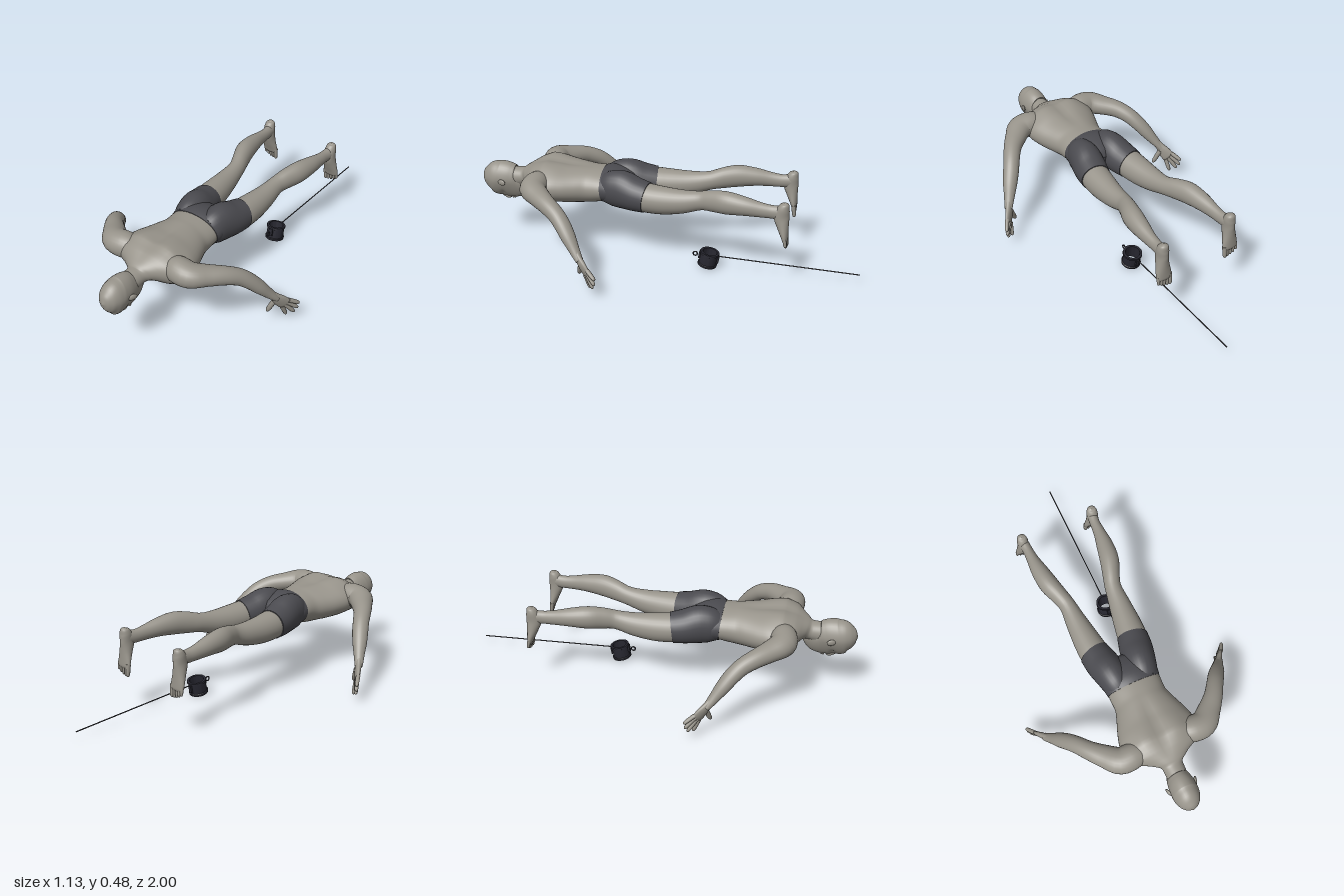
import * as THREE from 'three';
import { toCreasedNormals } from 'three/addons/utils/BufferGeometryUtils.js';

const mat = (name, color) => Object.assign(new THREE.MeshStandardMaterial({ color }), { name });
const V = (x, y, z) => new THREE.Vector3(x, y, z);
const clamp = THREE.MathUtils.clamp;
const bump = (v, c, s) => Math.exp(-(((v - c) / s) ** 2));

// Smooth skin over elliptical sections; rows are [x, y, z, halfWidth, halfHeight].
function loft(rows, { up = V(0, 1, 0), side = 1, seg = 28, steps = 4, deform } = {}) {
  const path = new THREE.CatmullRomCurve3(rows.map(r => V(r[0] * side, r[1], r[2])));
  const size = new THREE.CatmullRomCurve3(rows.map(r => V(r[3], r[4], 0)));
  const u0 = V(up.x * side, up.y, up.z);
  const n = (rows.length - 1) * steps, pos = [], idx = [];
  const ring = t => {
    const c = path.getPoint(t), s = size.getPoint(t), T = path.getTangent(t);
    const sx = u0.clone().cross(T).normalize(), sy = T.clone().cross(sx);
    for (let j = 0; j < seg; j++) {
      const a = j / seg * Math.PI * 2;
      const p = c.clone().addScaledVector(sx, Math.cos(a) * s.x).addScaledVector(sy, Math.sin(a) * s.y);
      if (deform) deform(p);
      pos.push(p.x, p.y, p.z);
    }
    return c;
  };
  for (let i = 0; i <= n; i++) ring(i / n);
  for (let i = 0; i < n; i++) for (let j = 0; j < seg; j++) {
    const a = i * seg + j, b = i * seg + (j + 1) % seg;
    idx.push(a, b, b + seg, a, b + seg, a + seg);
  }
  for (const t of [0, 1]) {
    const base = pos.length / 3, c = ring(t);
    pos.push(c.x, c.y, c.z);
    for (let j = 0; j < seg; j++) {
      const a = base + j, b = base + (j + 1) % seg;
      idx.push(base + seg, t ? a : b, t ? b : a);
    }
  }
  const g = new THREE.BufferGeometry();
  g.setAttribute('position', new THREE.Float32BufferAttribute(pos, 3));
  g.setIndex(idx);
  g.computeVertexNormals();
  return g;
}

// Finger or toe from a to b with a rounded tip.
function digit(a, b, r, side) {
  const at = (t, k) => [0, 1, 2].map(i => a[i] + (b[i] - a[i]) * t).concat(r * k, r * k);
  return loft([at(0, 1), at(0.45, 0.95), at(0.8, 0.85), at(0.95, 0.55), at(1, 0.08)],
    { up: V(0.3, 0.2, 1), side, seg: 10, steps: 2 });
}

export function createModel() {
  const skin = mat('skin', 0x98948b), cloth = mat('shortsCloth', 0x4b4b50);
  const iron = mat('darkIron', 0x272730), steel = mat('rodSteel', 0x3c3c42);
  const model = new THREE.Group();
  model.name = 'lyingFigure';
  const add = (name, geo, m, parent = model) => {
    const mesh = new THREE.Mesh(geo, m);
    mesh.name = name;
    parent.add(mesh);
    return mesh;
  };

  // Torso and neck, with a spine groove and chest hollow
  add('torso', loft([
    [0, .37, .29, .13, .08], [0, .37, .33, .137, .085], [0, .365, .40, .136, .094], [0, .366, .46, .155, .098],
    [0, .368, .52, .178, .101], [0, .373, .58, .195, .104], [0, .378, .64, .2, .102], [0, .382, .69, .175, .08],
    [0, .378, .73, .1, .058], [0, .368, .765, .053, .048], [0, .36, .82, .05, .052], [0, .355, .86, .045, .05],
  ], {
    seg: 48, deform: p => {
      const k = bump(p.x, 0, .03) * bump(p.z, .57, .13);
      p.y += p.y > .38 ? -.014 * k : .008 * k;
      // shoulder blades
      if (p.y > .42) p.y += .008 * bump(Math.abs(p.x), .09, .04) * bump(p.z, .62, .06);
    },
  }), skin);

  // Head, face down, narrowing to the jaw with sunken eyes
  add('head', loft([
    [0, .37, .765, .03, .04], [0, .345, .78, .042, .062], [0, .332, .80, .05, .08], [0, .329, .82, .057, .088],
    [0, .334, .85, .063, .095], [0, .341, .88, .067, .097], [0, .344, .91, .068, .096], [0, .35, .94, .063, .085],
    [0, .352, .97, .049, .062], [0, .353, .99, .028, .036], [0, .353, 1, .003, .003],
  ], {
    seg: 40, deform: p => {
      p.x *= 1 - .38 * clamp((.35 - p.y) / .11, 0, 1) * (1 - .5 * clamp((p.z - .87) / .08, 0, 1));
      if (p.y < .32) p.y += .014 * bump(Math.abs(p.x), .026, .014) * bump(p.z, .886, .014);
    },
  }), skin);
  add('nose', loft([[0, .256, .905, .006, .008], [0, .247, .885, .008, .012], [0, .241, .866, .012, .013],
    [0, .245, .856, .013, .01], [0, .25, .85, .004, .003]], { seg: 14 }), skin);
  for (const [z, w] of [[.839, .02], [.83, .017]]) {
    const lip = add('lip', new THREE.SphereGeometry(1, 14, 10), skin);
    lip.scale.set(w, .008, .006);
    lip.position.set(0, .243, z);
  }

  // Pelvis of the shorts
  add('shortsWaist', loft([[0, .37, .327, .14, .088], [0, .373, .29, .145, .092], [0, .37, .24, .14, .085],
    [0, .365, .19, .1, .065], [0, .362, .165, .03, .035]], { seg: 40 }), cloth);

  for (const side of [1, -1]) {
    const tag = side > 0 ? 'left' : 'right';
    const limb = (name, rows, m, opt) => add(tag + name, loft(rows, { side, ...opt }), m);

    const ear = add(tag + 'Ear', new THREE.SphereGeometry(1, 14, 10), skin);
    ear.scale.set(.008, .016, .024);
    ear.position.set(side * .07, .345, .876);
    ear.rotation.y = -side * .35;

    // Shorts leg and bare leg
    limb('ShortsLeg', [[.066, .371, .31, .066, .078], [.074, .376, .27, .075, .094], [.08, .377, .22, .082, .099],
      [.094, .364, .15, .084, .088], [.106, .356, .085, .078, .079]], cloth);
    limb('Leg', [[.1, .358, .13, .07, .074], [.106, .355, .08, .074, .075], [.113, .353, 0, .068, .072],
      [.12, .36, -.1, .055, .061], [.127, .379, -.2, .042, .049], [.145, .39, -.26, .044, .055],
      [.168, .398, -.33, .049, .058], [.182, .396, -.42, .043, .048], [.188, .388, -.5, .031, .038],
      [.19, .384, -.56, .026, .034], [.195, .386, -.61, .027, .036], [.195, .387, -.63, .015, .02]], skin);

    // Foot pointing down, with toes
    limb('Foot', [[.197, .44, -.62, .006, .006], [.197, .432, -.62, .022, .02], [.197, .405, -.612, .029, .032],
      [.197, .365, -.606, .029, .038], [.198, .32, -.613, .034, .03], [.198, .27, -.624, .042, .019],
      [.197, .245, -.629, .042, .014], [.197, .235, -.631, .034, .008]], skin, { up: V(0, 0, 1) });
    for (let i = 0; i < 5; i++) {
      const x = .165 + i * .0165;
      add(tag + 'Toe', digit([x, .26, -.628], [x + .001, .194 + i * i * .0014, -.634], i ? .0088 : .012, side), skin);
    }

    // Arm reaching outward and down
    limb('Arm', [[.09, .39, .635, .05, .05], [.16, .397, .65, .066, .066], [.22, .396, .648, .067, .06],
      [.28, .386, .595, .056, .05], [.335, .372, .535, .046, .045], [.375, .345, .478, .042, .041],
      [.405, .308, .437, .041, .038], [.435, .262, .4, .037, .034], [.462, .216, .366, .028, .026],
      [.481, .186, .343, .023, .02], [.492, .168, .328, .02, .016]], skin);

    // Hand with spread fingers
    limb('Hand', [[.474, .197, .35, .021, .017], [.486, .176, .334, .024, .016], [.5, .148, .313, .034, .015],
      [.513, .124, .294, .036, .012], [.519, .112, .286, .028, .007]], skin, { up: V(-.7, .16, -.68), seg: 20 });
    const fingers = [
      [[.529, .142, .282], [.561, .108, .234]],
      [[.521, .127, .285], [.557, .078, .238]],
      [[.512, .114, .291], [.545, .053, .25]],
      [[.502, .103, .299], [.511, .037, .272]],
    ];
    for (const [a, b] of fingers) add(tag + 'Finger', digit(a, b, .0115, side), skin);
    add(tag + 'Thumb', digit([.482, .155, .325], [.447, .075, .347], .0135, side), skin);
  }

  // Hollow shackle with rims, tilted backwards
  const shackle = new THREE.Group();
  shackle.name = 'shackle';
  shackle.position.set(.105, .048, -.235);
  shackle.rotation.x = -.2;
  model.add(shackle);
  const profile = [[.037, .038], [.037, -.038], [.049, -.038], [.05, -.028], [.045, -.025], [.045, .025],
    [.05, .028], [.049, .038], [.037, .038]].map(p => new THREE.Vector2(...p));
  add('shackleBand', toCreasedNormals(new THREE.LatheGeometry(profile, 40), .6), iron, shackle);
  add('lockPlate', new THREE.BoxGeometry(.022, .04, .01), iron, shackle).position.set(0, .01, .048);
  add('hingePlate', new THREE.BoxGeometry(.018, .04, .01), iron, shackle).position.set(0, .005, -.048);
  const eye = add('lockRing', new THREE.TorusGeometry(.011, .0035, 8, 20), iron);
  eye.position.set(.105, .067, -.166);
  eye.rotation.y = Math.PI / 2;

  // Thin rod trailing behind the shackle
  const rod = new THREE.LineCurve3(V(.105, .064, -.282), V(.105, .042, -1));
  add('rod', new THREE.TubeGeometry(rod, 1, .003, 8), steel);
  return model;
}
